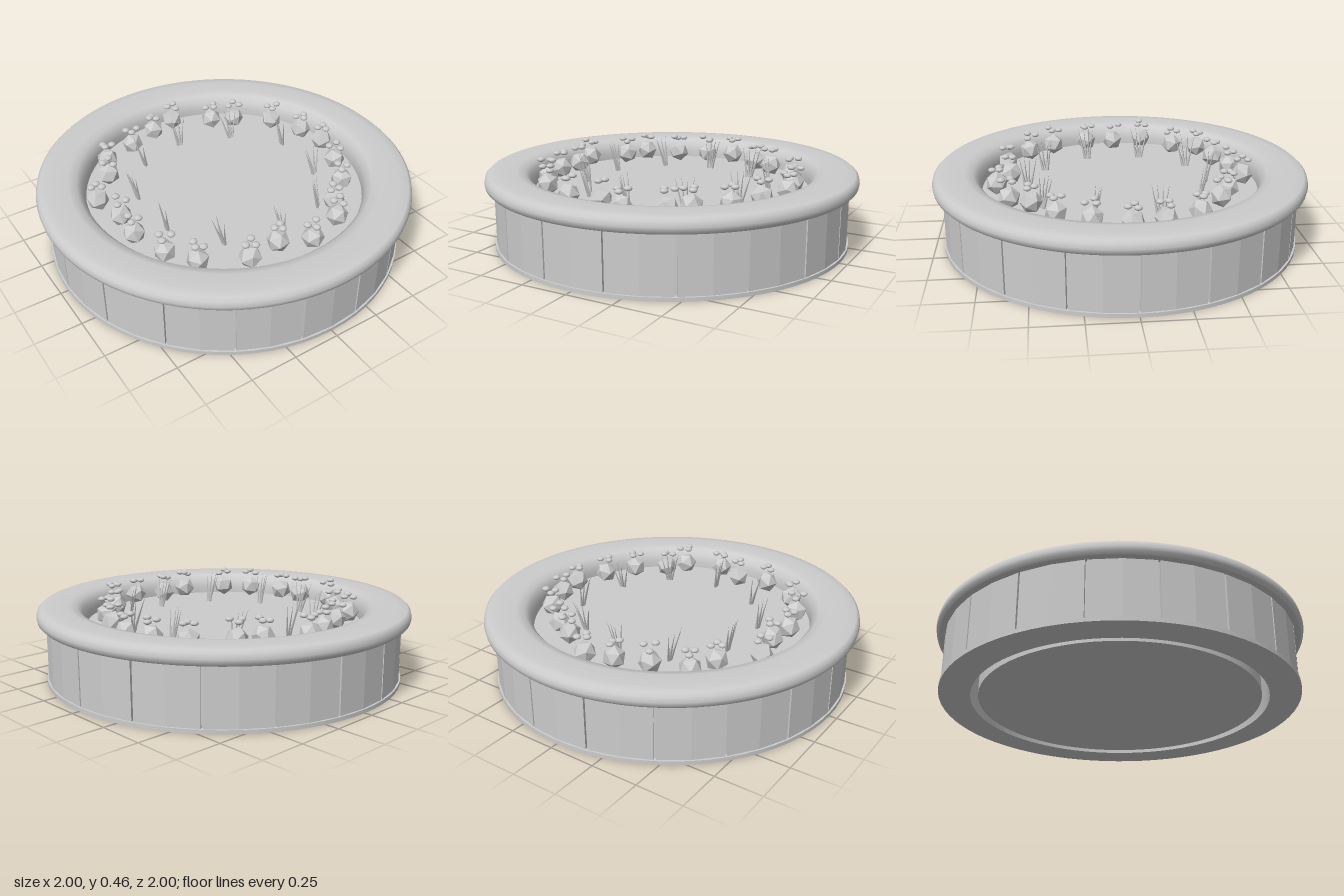
import * as THREE from 'three';

export function createModel() {
  const model = new THREE.Group();
  const stone = new THREE.MeshStandardMaterial({ color: 0xcccccc });
  stone.name = 'pale grey';

  let seed = 7;
  const rnd = () => (seed = (seed * 16807) % 2147483647) / 2147483647;

  const add = (name, geometry, parent = model) => {
    const mesh = new THREE.Mesh(geometry, stone);
    mesh.name = name;
    parent.add(mesh);
    return mesh;
  };
  const lathe = (points, segments = 72) =>
    new THREE.LatheGeometry(points.map(([r, y]) => new THREE.Vector2(r, y)), segments);

  // Square-edged ring, one lathe strip per face so the edges stay sharp
  const ring = (name, inner, outer, y0, y1) => {
    const group = new THREE.Group();
    group.name = name;
    const c = [[inner, y0], [outer, y0], [outer, y1], [inner, y1]];
    c.forEach((p, i) => add(name + 'Face', lathe([p, c[(i + 1) % 4]]), group));
    model.add(group);
  };

  ring('baseRing', 0.795, 0.96, 0, 0.02);
  ring('wallCore', 0.795, 0.935, 0.02, 0.33);

  // Eighteen wall panels separated by narrow seams
  const panels = new THREE.Group();
  panels.name = 'wallPanels';
  model.add(panels);
  const half = Math.PI / 18 - 0.005;
  const sector = new THREE.Shape();
  [-1, 0, 1].forEach((k) => {
    const x = 0.952 * Math.cos(k * half), y = 0.952 * Math.sin(k * half);
    if (k < 0) sector.moveTo(x, y); else sector.lineTo(x, y);
  });
  [1, 0, -1].forEach((k) => sector.lineTo(0.925 * Math.cos(k * half), 0.925 * Math.sin(k * half)));
  sector.closePath();
  const panelGeometry = new THREE.ExtrudeGeometry(sector, { depth: 0.305, bevelEnabled: false });
  panelGeometry.rotateX(-Math.PI / 2);
  for (let i = 0; i < 18; i++) {
    const panel = add('wallPanel', panelGeometry, panels);
    panel.position.y = 0.018;
    panel.rotation.y = Math.PI / 2 + i * Math.PI / 9;
  }

  // Rounded coping around the top
  add('rim', lathe([
    [0.982, 0.32], [0.996, 0.335], [1, 0.355], [0.994, 0.38], [0.978, 0.395],
    [0.93, 0.4], [0.83, 0.4], [0.785, 0.39], [0.757, 0.36], [0.745, 0.32], [0.745, 0.275],
  ], 96));
  add('rimUnderside', lathe([[0.79, 0.32], [0.982, 0.32]], 96));

  // Filled bed inside the wall
  add('soil', new THREE.CylinderGeometry(0.755, 0.755, 0.28, 72)).position.y = 0.145;

  // Faceted bushes, each topped with small flattened blossoms
  const bushes = [
    [0.06, -0.66], [0.26, -0.54], [0.38, -0.48], [0.56, -0.34], [0.64, -0.16],
    [0.67, 0], [0.61, 0.19], [0.52, 0.36], [0.37, 0.48], [0.3, 0.59],
    [0.09, 0.66], [-0.07, 0.59], [-0.25, 0.61], [-0.47, 0.49], [-0.57, 0.35],
    [-0.63, 0.15], [-0.62, -0.01], [-0.66, -0.19], [-0.51, -0.36], [-0.45, -0.5],
    [-0.26, -0.56], [-0.09, -0.62],
  ];
  const bushGeometry = new THREE.IcosahedronGeometry(0.06, 0);
  const blossomGeometry = new THREE.SphereGeometry(0.021, 10, 6);
  blossomGeometry.scale(1, 0.6, 1);
  for (const [x, z] of bushes) {
    const plant = new THREE.Group();
    plant.name = 'floweringBush';
    plant.position.set(x, 0.345, z);
    model.add(plant);
    add('bush', bushGeometry, plant).rotation.set(rnd() * 6, rnd() * 6, rnd() * 6);
    const turn = rnd() * 6;
    for (let k = 0; k < 3; k++) {
      const a = turn + k * 2.1, r = 0.02 + rnd() * 0.018;
      add('blossom', blossomGeometry, plant)
        .position.set(r * Math.cos(a), 0.075 + rnd() * 0.02, r * Math.sin(a));
    }
  }

  // Ten tufts of grass; each entry is the heading its blades lean to, in degrees
  const headings = [-90, -90, 180, -100, -130, 180, 180, 180, 180, 180];
  const bladeGeometry = new THREE.ConeGeometry(0.009, 0.19, 4);
  bladeGeometry.translate(0, 0.095, 0);
  headings.forEach((heading, i) => {
    const a = i * Math.PI / 5, h = heading * Math.PI / 180;
    const tuft = new THREE.Group();
    tuft.name = 'grassTuft';
    tuft.position.set(0.5 * Math.sin(a) - 0.03 * Math.cos(h), 0.275, -0.5 * Math.cos(a) - 0.03 * Math.sin(h));
    model.add(tuft);
    for (let k = 0; k < 4; k++) {
      const dir = h + (k - 1.5) * 0.6, lean = 0.2 + rnd() * 0.15;
      const blade = add('grassBlade', bladeGeometry, tuft);
      blade.position.set((k - 1.5) * -0.006 * Math.sin(h), 0, (k - 1.5) * 0.006 * Math.cos(h));
      blade.quaternion.setFromUnitVectors(
        new THREE.Vector3(0, 1, 0),
        new THREE.Vector3(Math.sin(lean) * Math.cos(dir), Math.cos(lean), Math.sin(lean) * Math.sin(dir)));
    }
  });

  return model;
}
